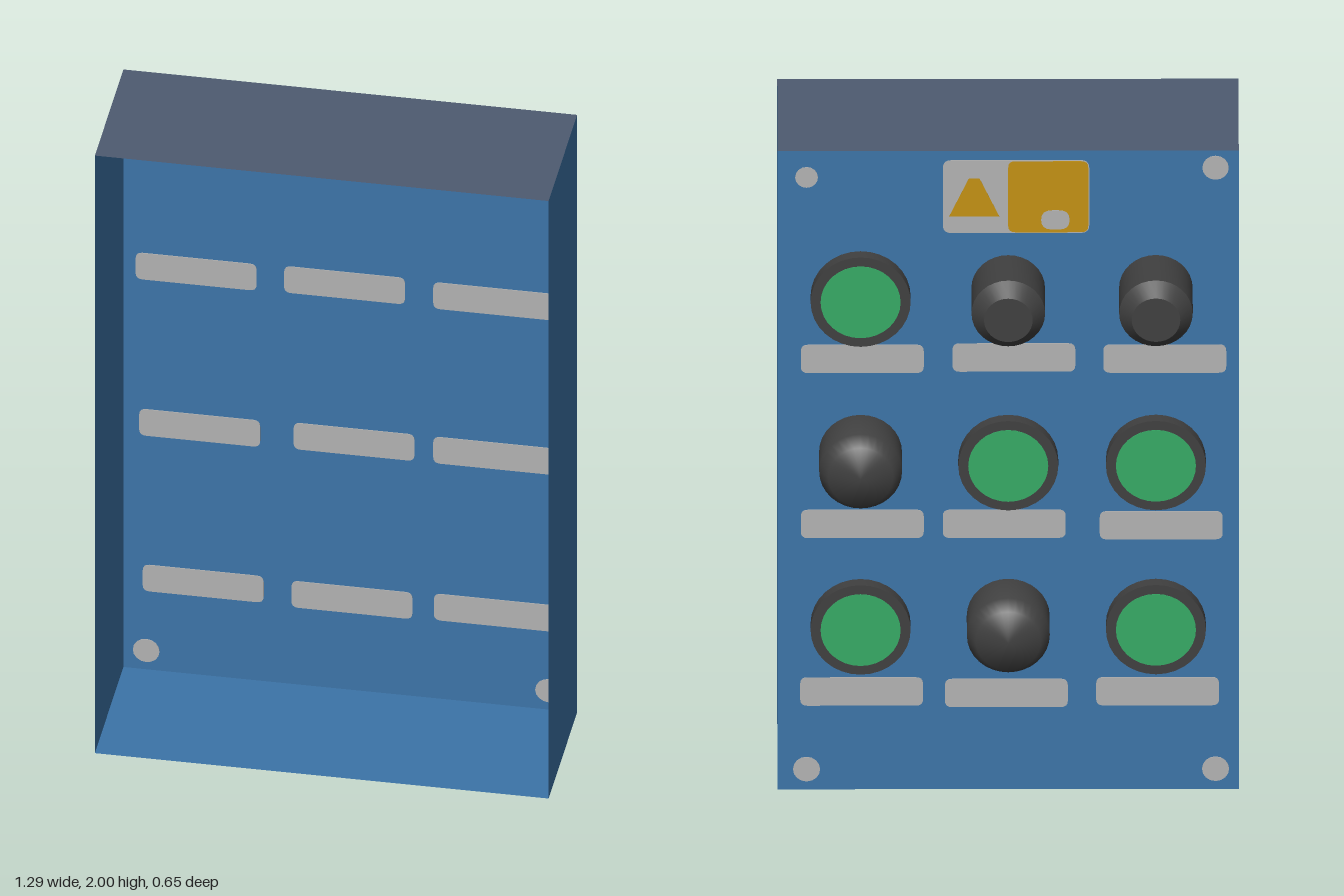
import * as THREE from 'three';
import { toCreasedNormals } from 'three/addons/utils/BufferGeometryUtils.js';

const mat = (name, color, side = THREE.FrontSide) => {
  const m = new THREE.MeshStandardMaterial({ color, side });
  m.name = name;
  return m;
};

const W = 1.29, H = 2, BACK = -0.124, FRONT = 0.322;

export function createModel() {
  const model = new THREE.Group();
  model.name = 'controlBox';
  const blue = mat('enclosureBlue', 0x3c74a8, THREE.DoubleSide);
  const slate = mat('topSlate', 0x4e5b71, THREE.DoubleSide);
  const grey = mat('labelGrey', 0xb2b2b2);
  const yellow = mat('signYellow', 0xc39112);
  const black = mat('buttonBlack', 0x404040);
  const green = mat('lampGreen', 0x36aa65);

  const add = (name, geometry, material, x, y, z, parent = model) => {
    const mesh = new THREE.Mesh(geometry, material);
    mesh.name = name;
    mesh.position.set(x, y, z);
    parent.add(mesh);
    return mesh;
  };

  // Sheet-metal enclosure, open on the +z side
  const D = FRONT - BACK, midZ = (FRONT + BACK) / 2;
  add('backPanel', new THREE.PlaneGeometry(W, H).rotateY(Math.PI), blue, 0, H / 2, BACK);
  for (const s of [-1, 1]) {
    add(s > 0 ? 'leftWall' : 'rightWall',
      new THREE.PlaneGeometry(D, H).rotateY(s * Math.PI / 2), blue, s * W / 2, H / 2, midZ);
  }
  add('bottomWall', new THREE.PlaneGeometry(W, D).rotateX(Math.PI / 2), blue, 0, 0, midZ);
  add('topWall', new THREE.PlaneGeometry(W, D).rotateX(-Math.PI / 2), slate, 0, H, midZ);

  // Thin plates pass through the panel, so they show on both sides
  const plate = (name, shape, material, x, y, depth) => {
    const g = new THREE.ExtrudeGeometry(shape, { depth, bevelEnabled: false, curveSegments: 4 });
    return add(name, g.translate(0, 0, -depth / 2), material, x, y, BACK);
  };
  const rounded = (w, h, r) => {
    const s = new THREE.Shape(), a = w / 2, b = h / 2;
    s.moveTo(-a + r, -b);
    s.lineTo(a - r, -b).quadraticCurveTo(a, -b, a, -b + r);
    s.lineTo(a, b - r).quadraticCurveTo(a, b, a - r, b);
    s.lineTo(-a + r, b).quadraticCurveTo(-a, b, -a, b - r);
    s.lineTo(-a, -b + r).quadraticCurveTo(-a, -b, -a + r, -b);
    return s;
  };

  // Name strips under each control
  const strip = rounded(0.344, 0.088, 0.02);
  [[-0.438, 1.349], [-0.016, 1.353], [0.408, 1.349],
    [-0.428, 0.827], [0.011, 0.832], [0.408, 0.832],
    [-0.418, 0.307], [0.005, 0.302], [0.41, 0.307]]
    .forEach(([x, y]) => plate('labelStrip', strip, grey, x, y, 0.005));

  // Corner screws
  [[-0.58, 1.947, 0.037], [0.564, 1.918, 0.032], [-0.58, 0.064, 0.038], [0.564, 0.064, 0.038]]
    .forEach(([x, y, r]) => add('screw',
      new THREE.CylinderGeometry(r, r, 0.006, 16).rotateX(Math.PI / 2), grey, x, y, BACK));

  // Warning sign: grey plate, yellow half, triangle and pale patch
  plate('warningPlate', rounded(0.41, 0.228, 0.025), grey, -0.022, 1.857, 0.004);
  plate('warningYellowHalf', rounded(0.224, 0.222, 0.02), yellow, -0.112, 1.857, 0.006);
  const triangle = new THREE.Shape([[-0.07, -0.059], [0.07, -0.059], [0.015, 0.059], [-0.015, 0.059]]
    .map(([x, y]) => new THREE.Vector2(x, y)));
  plate('warningTriangle', triangle, yellow, 0.095, 1.855, 0.006);
  plate('warningPatch', rounded(0.08, 0.06, 0.03), grey, -0.132, 1.785, 0.008);

  // Controls: turned profiles of [radius, height above panel]
  const lathe = (profile, crease) => toCreasedNormals(
    new THREE.LatheGeometry(profile.map(([r, h]) => new THREE.Vector2(r, h)), 32), crease)
    .rotateX(-Math.PI / 2);
  const shapes = {
    knob: lathe([[0.103, 0], [0.103, 0.158], [0.068, 0.201], [0, 0.201]], 0.5),
    dome: lathe([[0.116, 0], [0.116, 0.121], [0.091, 0.157], [0, 0.174]], 0.85),
    lamp: lathe([[0.105, 0], [0.105, 0.048], [0.14, 0.048], [0.14, 0.087], [0, 0.087]], 0.5),
  };
  const lens = new THREE.CylinderGeometry(0.112, 0.112, 0.004, 32).rotateX(-Math.PI / 2);

  // Grid of controls, each row listed from -x to +x
  const rows = [
    [1.57, ['knob', 'knob', 'lamp']],
    [1.057, ['lamp', 'lamp', 'dome']],
    [0.543, ['lamp', 'dome', 'lamp']],
  ];
  for (const [y, kinds] of rows) {
    kinds.forEach((kind, i) => {
      const x = (i - 1) * 0.413;
      add(kind + 'Button', shapes[kind], black, x, y, BACK);
      if (kind === 'lamp') add('lampLens', lens, green, x, y, BACK - 0.087);
    });
  }
  return model;
}
